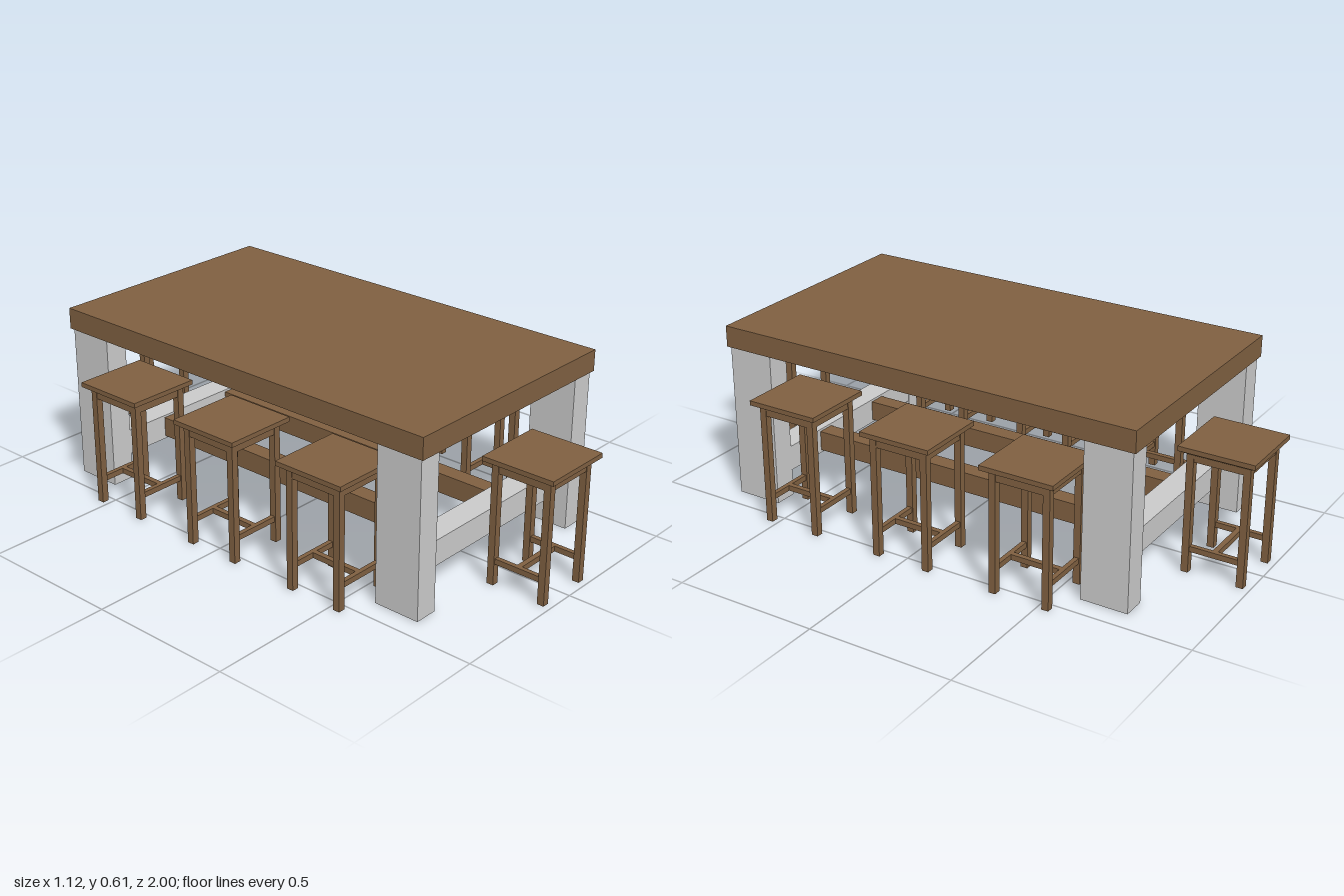
import * as THREE from 'three';

export function createModel() {
  const wood = new THREE.MeshStandardMaterial({ color: 0x7f6041 });
  wood.name = 'brown wood';
  const grey = new THREE.MeshStandardMaterial({ color: 0xcacaca });
  grey.name = 'pale grey';

  // Box given by its min and max on each axis
  function box(parent, name, material, [x0, x1], [y0, y1], [z0, z1]) {
    const mesh = new THREE.Mesh(new THREE.BoxGeometry(x1 - x0, y1 - y0, z1 - z0), material);
    mesh.position.set((x0 + x1) / 2, (y0 + y1) / 2, (z0 + z1) / 2);
    mesh.name = name;
    parent.add(mesh);
  }
  const span = (a, b, side) => (side > 0 ? [a, b] : [-b, -a]);

  function createTable() {
    const table = new THREE.Group();
    table.name = 'table';
    box(table, 'tableTop', wood, [-0.434, 0.434], [0.537, 0.61], [-0.76, 0.76]);
    for (const s of [-1, 1]) {
      for (const t of [-1, 1]) {
        box(table, 'tableLeg', grey, span(0.345, 0.426, s), [0, 0.537], span(0.587, 0.75, t));
      }
      // Grey rail joins each pair of legs, brown beams run between the rails
      box(table, 'endRail', grey, [-0.345, 0.345], [0.09, 0.178], span(0.59, 0.68, s));
      box(table, 'longBeam', wood, span(0.12, 0.18, s), [0.1, 0.17], [-0.59, 0.59]);
    }
    return table;
  }

  function createStool() {
    const stool = new THREE.Group();
    stool.name = 'stool';
    const seat = 0.128, outer = 0.106, inner = 0.082;
    box(stool, 'seat', wood, [-seat, seat], [0.42, 0.436], [-seat, seat]);

    // Bevelled underside of the seat
    const bevelGeometry = new THREE.CylinderGeometry(seat * Math.SQRT2, outer * Math.SQRT2, 0.013, 4)
      .rotateY(Math.PI / 4).toNonIndexed();
    bevelGeometry.computeVertexNormals();
    const bevel = new THREE.Mesh(bevelGeometry, wood);
    bevel.name = 'seatBevel';
    bevel.position.y = 0.4135;
    stool.add(bevel);

    for (const s of [-1, 1]) {
      for (const t of [-1, 1]) {
        box(stool, 'stoolLeg', wood, span(inner, outer, s), [0, 0.408], span(inner, outer, t));
      }
      box(stool, 'apronFront', wood, [-inner, inner], [0.383, 0.408], span(inner + 0.003, outer - 0.002, s));
      box(stool, 'apronSide', wood, span(inner + 0.003, outer - 0.002, s), [0.383, 0.408], [-inner, inner]);
      box(stool, 'sideStretcher', wood, span(0.086, 0.102, s), [0.073, 0.092], [-inner, inner]);
    }
    box(stool, 'crossStretcher', wood, [-0.086, 0.086], [0.073, 0.092], [-0.009, 0.009]);
    return stool;
  }

  const model = new THREE.Group();
  model.name = 'tableWithStools';
  model.add(createTable());

  // One stool at each end, three along each long side
  const places = [];
  for (const s of [-1, 1]) {
    places.push([0, s * 0.872, 0]);
    for (const z of [-0.436, 0, 0.436]) places.push([s * 0.434, z, Math.PI / 2]);
  }
  for (const [x, z, turn] of places) {
    const stool = createStool();
    stool.position.set(x, 0, z);
    stool.rotation.y = turn;
    model.add(stool);
  }
  return model;
}
